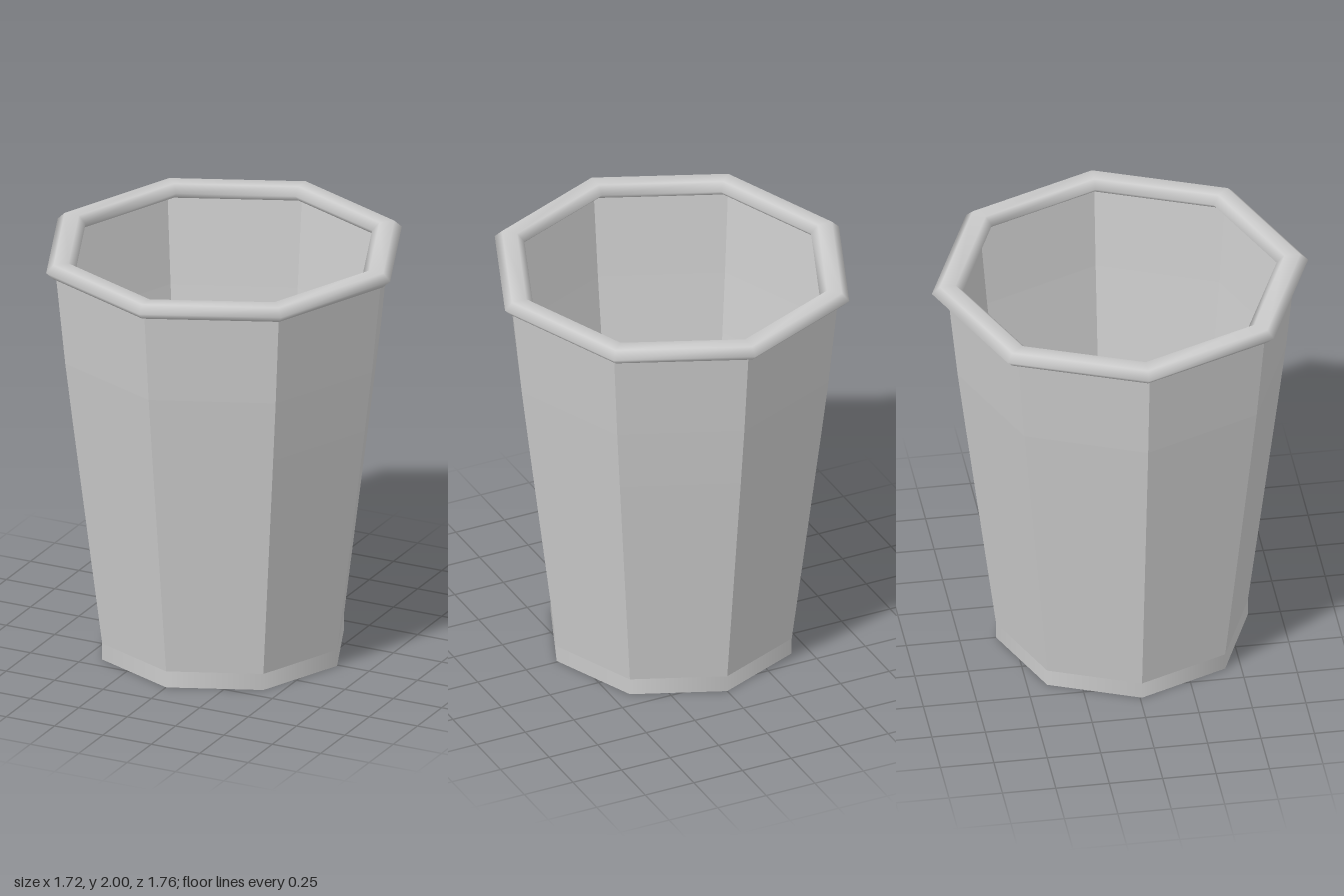
import * as THREE from 'three';

const SIDES = 8;

export function createModel() {
  const cup = new THREE.Group();
  cup.name = 'cup';

  const add = (name, geometry, options = {}) => {
    const material = new THREE.MeshStandardMaterial({ color: 0xcccccc, ...options });
    const mesh = new THREE.Mesh(geometry, material);
    mesh.name = name;
    cup.add(mesh);
    return mesh;
  };

  // Thin faceted wall, flaring upward with a very slight bulge
  const profile = [[0.589, 0.08], [0.732, 1.2], [0.769, 1.5], [0.816, 1.96]]
    .map(([r, y]) => new THREE.Vector2(r, y));
  const wall = add('wall', new THREE.LatheGeometry(profile, SIDES),
    { flatShading: true, side: THREE.DoubleSide });
  wall.position.z = 0.009;

  // Smooth-shaded base disc that closes the bottom
  const base = add('base', new THREE.CylinderGeometry(0.589, 0.589, 0.08, SIDES));
  base.position.set(0, 0.04, 0.009);

  // Flattened rolled rim, slightly longer front to back
  const rimGeometry = new THREE.TorusGeometry(0.787, 0.072, 6, SIDES);
  rimGeometry.rotateX(-Math.PI / 2);
  rimGeometry.scale(1, 0.56, 1.025);
  const rim = add('rim', rimGeometry);
  rim.position.y = 1.965;

  return cup;
}
